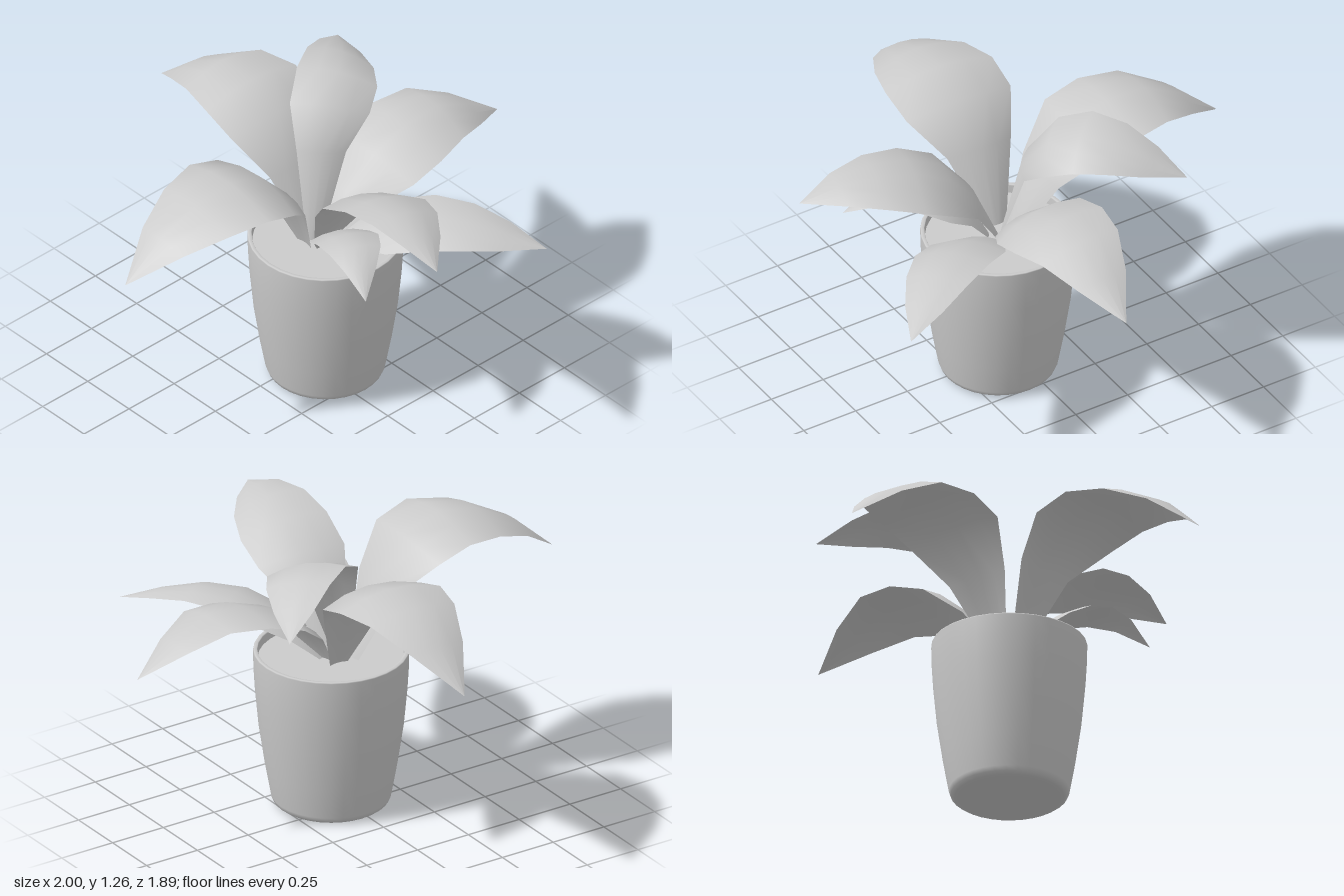
import * as THREE from 'three';

const grey = new THREE.MeshStandardMaterial({ color: 0xcccccc });
const leafGrey = new THREE.MeshStandardMaterial({ color: 0xcccccc, side: THREE.DoubleSide });
const POT = new THREE.Vector3(0.035, 0, 0.083);
const BASE_Y = 0.64;

// Stations shared by every leaf: share of the reach, and share of the full width
const REACH = [0, 0.12, 0.27, 0.45, 0.64, 0.82, 1];
const WIDTH = [0.16, 0.6, 0.98, 1, 0.84, 0.52, 0];

// base [x, z], tip [x, z], heights after the base, half width, sideways roll and bow
const LEAVES = [
  { name: 'leftmostLeaf', base: [-0.03, 0.04], tip: [-1, 0],
    heights: [0.97, 1.13, 1.19, 1.16, 1.07, 0.91], width: 0.25, roll: 0, bow: 0.03 },
  { name: 'backLeaf', base: [0.04, 0.03], tip: [0.07, -0.95],
    heights: [0.94, 1.12, 1.18, 1.17, 1.07, 0.91], width: 0.24, roll: 0, bow: -0.025 },
  { name: 'tallLeaf', base: [0, 0.05], tip: [0.61, -0.47],
    heights: [1.03, 1.18, 1.25, 1.24, 1.18, 1.1], width: 0.17, roll: -0.25, bow: -0.06 },
  { name: 'rightmostLeaf', base: [0.05, 0.07], tip: [1, 0.07],
    heights: [0.83, 0.95, 1.01, 1.02, 0.94, 0.82], width: 0.215, roll: -0.14, bow: -0.01 },
  { name: 'lowFrontLeaf', base: [0.05, 0.1], tip: [0.57, 0.84],
    heights: [0.74, 0.81, 0.86, 0.86, 0.82, 0.76], width: 0.165, roll: -0.15, bow: -0.03 },
  { name: 'frontLeaf', base: [0.02, 0.07], tip: [-0.13, 0.94],
    heights: [0.88, 1.03, 1.11, 1.14, 1.12, 1.06], width: 0.19, roll: 0.2, bow: 0.06 },
  { name: 'smallLeaf', base: [0, 0.1], tip: [-0.26, 0.65],
    heights: [0.77, 0.85, 0.91, 0.93, 0.9, 0.81], width: 0.13, roll: 0, bow: 0.025 },
];

// Arched blade: rows along the spine, columns across it, edges drooping
function makeLeaf({ name, base, tip, heights, width, roll, bow }) {
  const COLS = 4, DROOP = 0.2;
  const last = REACH.length - 1;
  const start = new THREE.Vector3(base[0], 0, base[1]);
  const end = new THREE.Vector3(tip[0], 0, tip[1]);
  const heading = end.clone().sub(start).normalize();
  const across = new THREE.Vector3(0, 1, 0).cross(heading);
  const spine = REACH.map((t, i) => start.clone().lerp(end, t)
    .addScaledVector(across, bow * Math.sin(Math.PI * t))
    .setY(i ? heights[i - 1] : BASE_Y));
  const positions = [], index = [];

  spine.forEach((p, i) => {
    const tangent = spine[Math.min(i + 1, last)].clone().sub(spine[Math.max(i - 1, 0)]).normalize();
    const side = across.clone().applyAxisAngle(tangent, -roll);
    const normal = tangent.clone().cross(side).normalize();
    const w = width * WIDTH[i];
    for (let j = 0; j <= COLS; j++) {
      const u = (2 * j) / COLS - 1;
      const v = p.clone().addScaledVector(side, u * w).addScaledVector(normal, -DROOP * w * u * u);
      positions.push(v.x, v.y, v.z);
    }
  });
  for (let i = 0; i < last; i++) {
    for (let j = 0; j < COLS; j++) {
      const a = i * (COLS + 1) + j, b = a + COLS + 1;
      index.push(a, b, a + 1);
      if (i < last - 1) index.push(b, b + 1, a + 1);
    }
  }
  const geometry = new THREE.BufferGeometry();
  geometry.setAttribute('position', new THREE.Float32BufferAttribute(positions, 3));
  geometry.setIndex(index);
  geometry.computeVertexNormals();
  const mesh = new THREE.Mesh(geometry, leafGrey);
  mesh.name = name;
  return mesh;
}

export function createModel() {
  const group = new THREE.Group();
  group.name = 'pottedPlant';

  // Tapered pot with rounded foot and thin rim
  const profile = [
    [0, 0], [0.2, 0], [0.225, 0.004], [0.24, 0.015], [0.248, 0.035], [0.272, 0.17], [0.297, 0.34],
    [0.312, 0.5], [0.318, 0.6], [0.32, 0.685], [0.318, 0.69], [0.304, 0.69], [0.302, 0.685], [0.3, 0.63],
  ].map(([r, y]) => new THREE.Vector2(r, y));
  const pot = new THREE.Mesh(new THREE.LatheGeometry(profile, 32), grey);
  pot.name = 'pot';
  pot.position.copy(POT);
  group.add(pot);

  // Soil disc just below the rim
  const soil = new THREE.Mesh(new THREE.CircleGeometry(0.302, 32).rotateX(-Math.PI / 2), grey);
  soil.name = 'soil';
  soil.position.copy(POT).setY(0.65);
  group.add(soil);

  const leaves = new THREE.Group();
  leaves.name = 'leaves';
  LEAVES.forEach((leaf) => leaves.add(makeLeaf(leaf)));
  group.add(leaves);
  return group;
}
